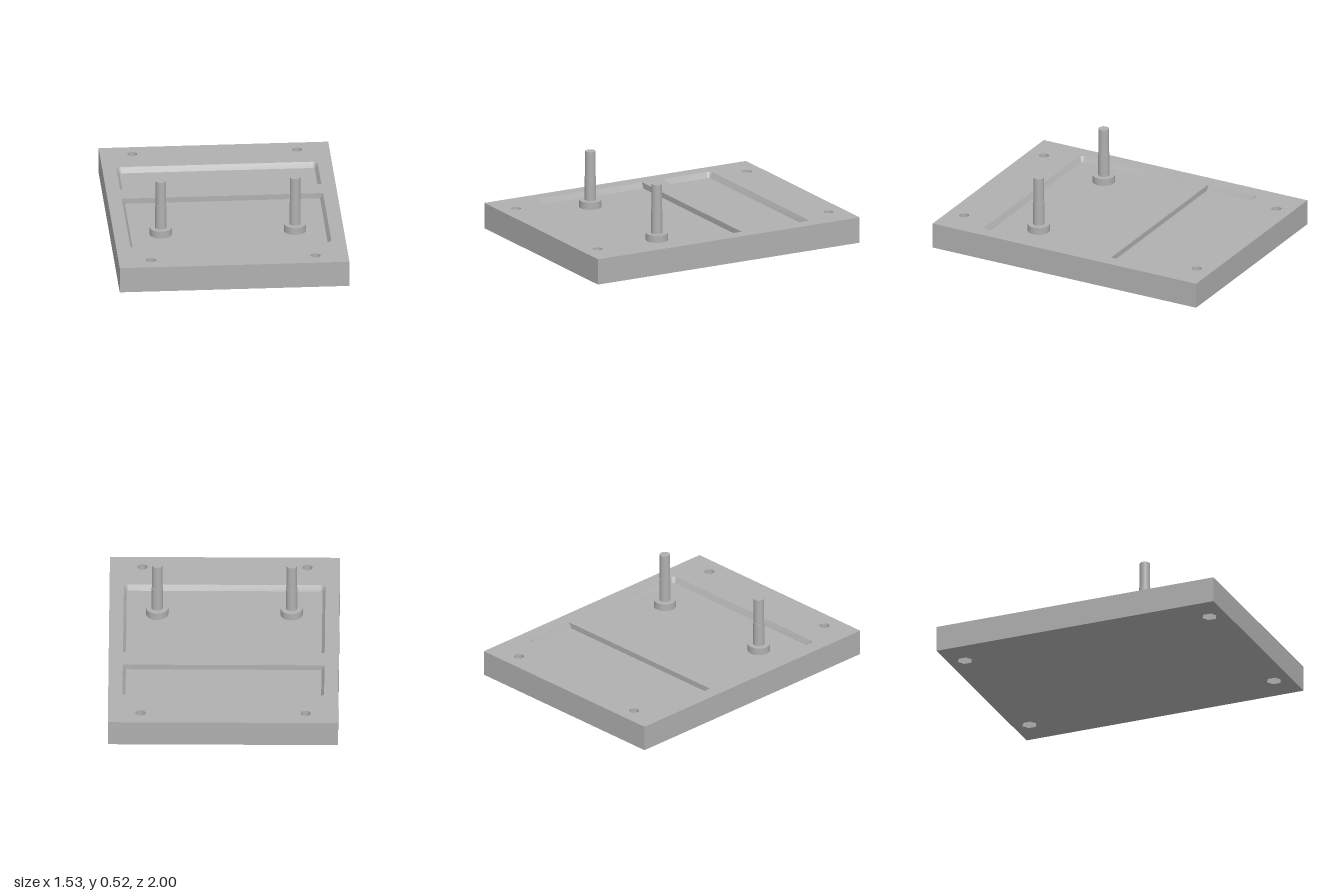
import * as THREE from 'three';
import { mergeGeometries, toCreasedNormals } from 'three/addons/utils/BufferGeometryUtils.js';

const V = (x, s) => new THREE.Vector2(x, s); // plan coordinates: s = -z
const HEIGHT = 0.175, FLOOR = 0.138, NUT_DEPTH = 0.08;

// Regular polygon or circle in plan
function ring(cx, cs, r, n, start = 0) {
  return Array.from({ length: n }, (_, i) => {
    const a = start + (i / n) * Math.PI * 2;
    return V(cx + r * Math.cos(a), cs + r * Math.sin(a));
  });
}

// Pocket outline: square corners at the straight edge, rounded at the far edge
function pocketLoop(straight, far, inset) {
  const dir = Math.sign(far - straight), hw = 0.67 - inset, r = 0.035 - inset;
  const end = far - dir * inset;
  const pts = [V(-hw, straight), V(hw, straight)];
  for (const side of [0, 1]) {
    for (let i = 0; i <= 6; i++) {
      const a = (side + i / 6) * Math.PI / 2;
      pts.push(V((side ? -1 : 1) * (hw - r) + r * Math.cos(a), end - dir * r + dir * r * Math.sin(a)));
    }
  }
  return pts;
}

// Flat horizontal face with holes
function cap(outline, holes, y, up) {
  const shape = new THREE.Shape(outline);
  shape.holes = holes.map((h) => new THREE.Path(h));
  const g = new THREE.ShapeGeometry(shape).toNonIndexed();
  g.rotateX(-Math.PI / 2).translate(0, y, 0);
  const p = g.attributes.position.array;
  if (!up) {
    for (let i = 0; i < p.length; i += 9) {
      for (let k = 0; k < 3; k++) [p[i + 3 + k], p[i + 6 + k]] = [p[i + 6 + k], p[i + 3 + k]];
    }
  }
  g.deleteAttribute('uv');
  g.computeVertexNormals();
  return g;
}

// Wall between two matching outlines, facing out, or in for a hole
function wall(low, y0, high, y1, inward) {
  const flip = THREE.ShapeUtils.isClockWise(low) !== inward;
  const a = flip ? [...low].reverse() : low, b = flip ? [...high].reverse() : high;
  const pos = [], put = (p, y) => pos.push(p.x, y, -p.y);
  a.forEach((_, i) => {
    const j = (i + 1) % a.length;
    put(a[i], y0); put(a[j], y0); put(b[j], y1);
    put(a[i], y0); put(b[j], y1); put(b[i], y1);
  });
  const g = new THREE.BufferGeometry();
  g.setAttribute('position', new THREE.Float32BufferAttribute(pos, 3));
  g.computeVertexNormals();
  return g;
}

function basePlate() {
  const outline = [V(-0.765, -1), V(0.765, -1), V(0.765, 1), V(-0.765, 1)];
  const centres = [[-0.548, 0.885], [0.548, 0.885], [-0.548, -0.88], [0.548, -0.88]];
  const bolts = centres.map(([x, s]) => ring(x, s, 0.033, 32));
  const nuts = centres.map(([x, s]) => ring(x, s, 0.052, 6, Math.PI / 2));
  const edges = [[0.302, 0.675], [0.15, -0.668]];
  const rims = edges.map(([a, b]) => pocketLoop(a, b, 0));
  const floors = edges.map(([a, b]) => pocketLoop(a, b, 0.02));

  const parts = [
    cap(outline, [...bolts, ...rims], HEIGHT, true),
    cap(outline, nuts, 0, false),
    wall(outline, 0, outline, HEIGHT, false),
  ];
  // Recessed floors with sloping sides
  rims.forEach((rim, i) => {
    parts.push(cap(floors[i], [], FLOOR, true), wall(floors[i], FLOOR, rim, HEIGHT, true));
  });
  // Bolt holes opening into hexagonal nut recesses underneath
  bolts.forEach((bolt, i) => {
    parts.push(
      wall(nuts[i], 0, nuts[i], NUT_DEPTH, true),
      cap(nuts[i], [bolt], NUT_DEPTH, false),
      wall(bolt, NUT_DEPTH, bolt, HEIGHT, true),
    );
  });
  return toCreasedNormals(mergeGeometries(parts), 0.5);
}

export function createModel() {
  const model = new THREE.Group();
  model.name = 'mountingPlate';
  const grey = new THREE.MeshStandardMaterial({ color: 0xb0b0b0 });
  grey.name = 'plain grey';

  const plate = new THREE.Mesh(basePlate(), grey);
  plate.name = 'basePlate';
  model.add(plate);

  // Two flanged, stepped posts standing in the larger recess
  for (const side of [-1, 1]) {
    const post = new THREE.Group();
    post.name = side > 0 ? 'leftPost' : 'rightPost';
    post.position.set(side * 0.447, 0, 0.37);
    const sections = [
      ['flange', 0.074, FLOOR, 0.188],
      ['lowerShaft', 0.038, 0.188, 0.35],
      ['upperShaft', 0.035, 0.35, 0.525],
    ];
    for (const [name, r, y0, y1] of sections) {
      const mesh = new THREE.Mesh(new THREE.CylinderGeometry(r, r, y1 - y0, 40), grey);
      mesh.name = name;
      mesh.position.y = (y0 + y1) / 2;
      post.add(mesh);
    }
    model.add(post);
  }
  return model;
}
